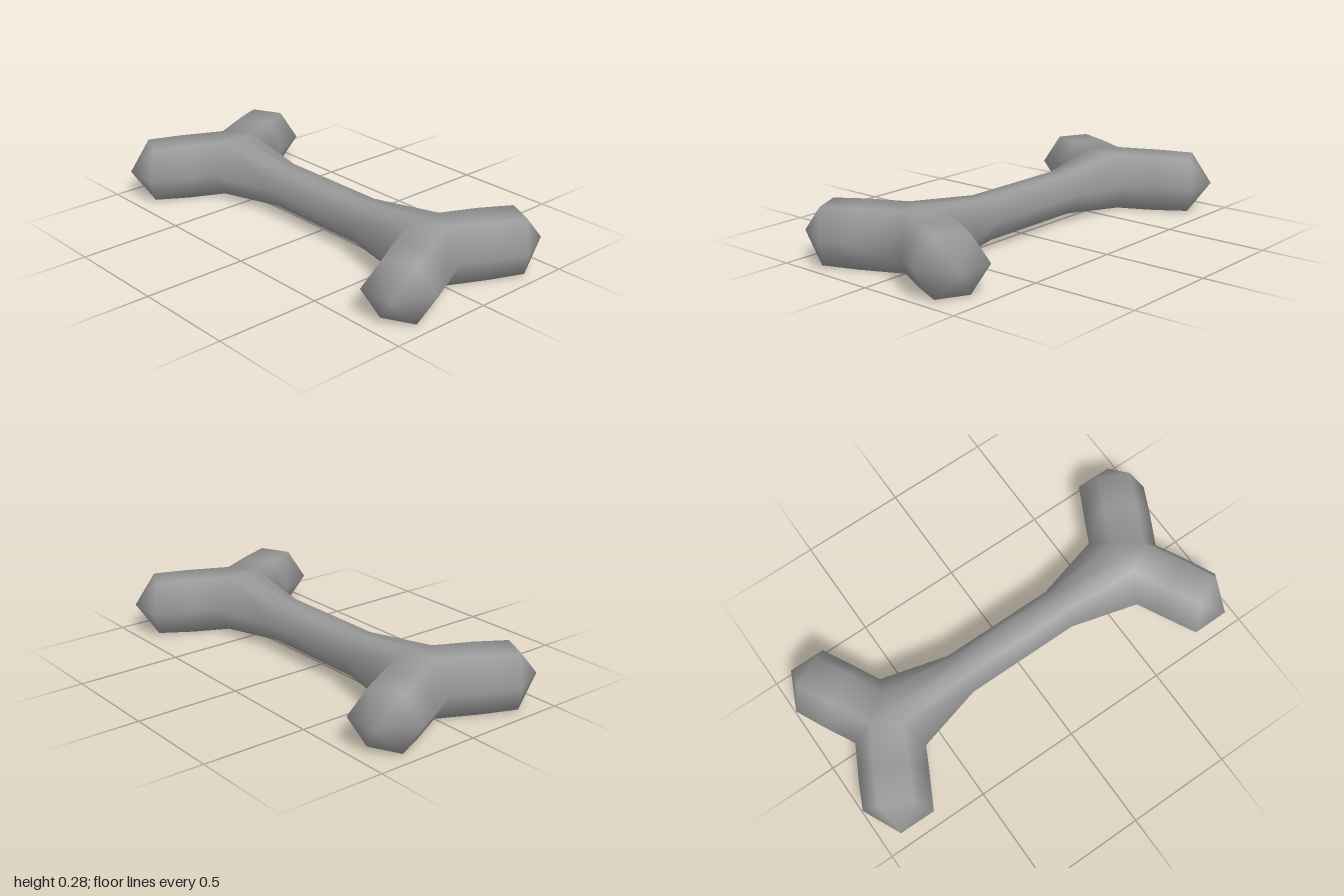
import * as THREE from 'three';
import { mergeVertices } from 'three/addons/utils/BufferGeometryUtils.js';

const MID_Y = 0.14;

// Point on a knob, measured along and across its slanted axis.
const knobPoint = (along, across, y) => [
  0.894 * along - 0.447 * across, y, 0.447 * along + 0.894 * across];

// Half of a six-sided knob ring, from the inner side over the top to the outer side.
function knobRing(alongs, radius, height) {
  return [-1, -0.5, 0.5, 1].map((k, i) =>
    knobPoint(alongs[i], 0.611 + k * radius, Math.abs(k) < 1 ? height : 0));
}

// Triangles of one eighth of the bone (x, y, z all positive).
function octant() {
  const tris = [];
  const strip = (a, b) => {
    for (let i = 0; i < a.length - 1; i++) {
      tris.push([a[i], a[i + 1], b[i + 1]], [a[i], b[i + 1], b[i]]);
    }
  };
  // Shaft, flaring into the joint
  const shaftRing = (z) => [[0.107, 0, z], [0.054, 0.095, z], [0, 0.095, z]];
  const side = [0.193, 0, 0.6], top = [0.09, 0.138, 0.645];
  const centre = [0, 0.138, 0.645], notchTop = [0, 0.14, 0.767], notch = [0, 0, 0.858];
  strip(shaftRing(0), shaftRing(0.28));
  strip(shaftRing(0.28), [side, top, centre]);
  tris.push([top, centre, notchTop]);
  // Knob with a pointed end
  const middle = knobRing([0.55, 0.55, 0.55, 0.55], 0.16, 0.137);
  const outer = knobRing([0.748, 0.72, 0.72, 0.7], 0.157, 0.131);
  const tip = knobPoint(0.825, 0.611, 0);
  strip([side, top, notchTop, notch], middle);
  strip(middle, outer);
  for (let i = 0; i < 3; i++) tris.push([outer[i], outer[i + 1], tip]);
  return tris;
}

export function createModel() {
  const positions = [];
  const eighth = octant();
  // Mirror the eighth in all three directions, keeping faces outward
  for (const sx of [1, -1]) for (const sy of [1, -1]) for (const sz of [1, -1]) {
    for (const [a, b, c] of eighth) {
      const corners = sx * sy * sz > 0 ? [a, b, c] : [a, c, b];
      for (const [x, y, z] of corners) positions.push(sx * x, MID_Y + sy * y, sz * z);
    }
  }
  let geometry = new THREE.BufferGeometry();
  geometry.setAttribute('position', new THREE.Float32BufferAttribute(positions, 3));
  geometry = mergeVertices(geometry, 1e-4);
  geometry.computeVertexNormals();

  const boneGrey = new THREE.MeshStandardMaterial({ color: 0x999999 });
  boneGrey.name = 'boneGrey';
  const bone = new THREE.Mesh(geometry, boneGrey);
  bone.name = 'bone';
  const model = new THREE.Group();
  model.name = 'boneModel';
  model.add(bone);
  return model;
}
